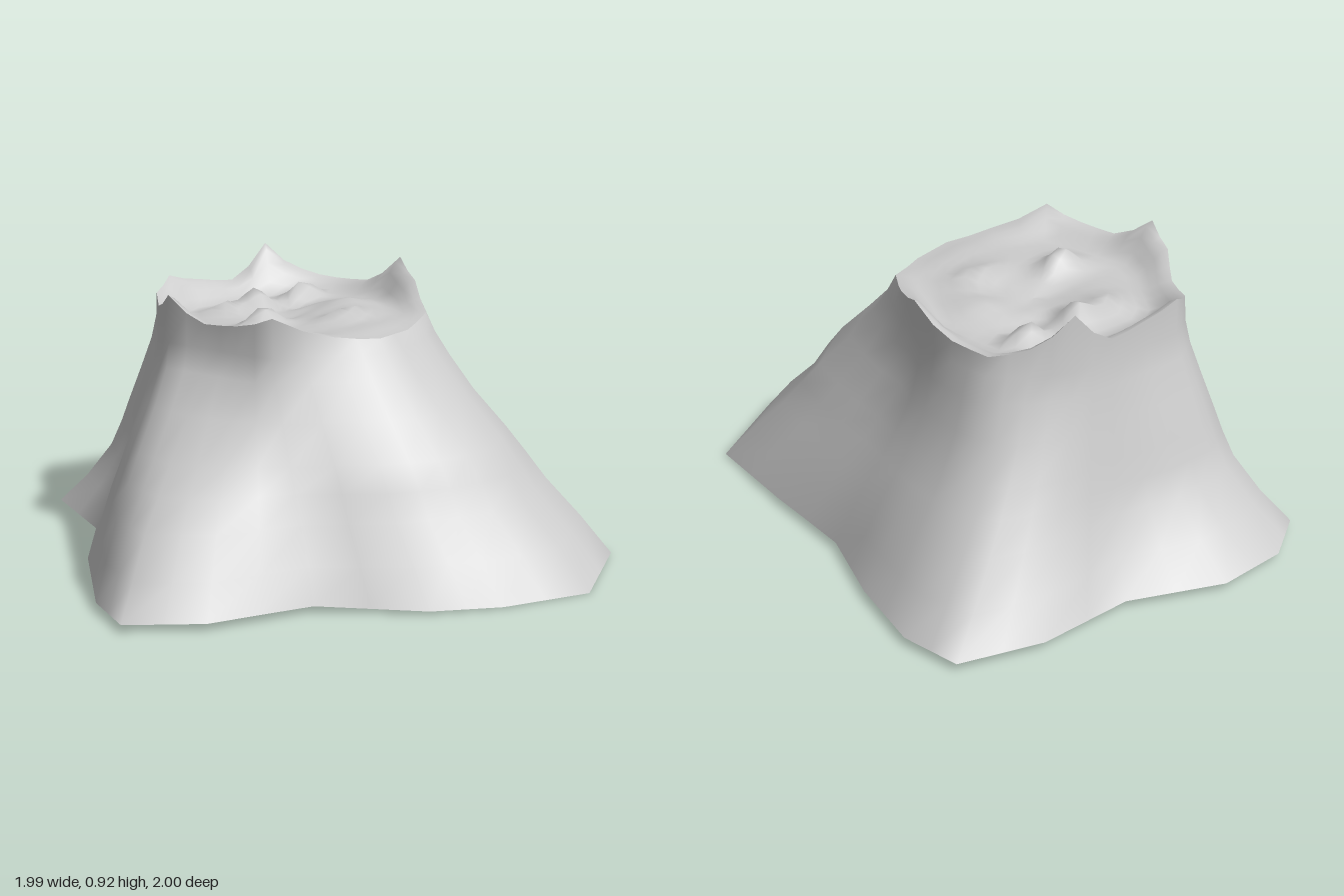
import * as THREE from 'three';

// Ground outline [x, z], clockwise from the back, with flared roots
const BASE = [
  [-0.15, -1], [0.10, -0.98], [0.39, -0.81], [0.72, -0.77], [0.98, -0.65],
  [0.99, -0.44], [0.90, -0.17], [0.77, 0.10], [0.71, 0.45], [0.62, 0.83],
  [0.27, 1], [-0.03, 0.89], [-0.23, 0.76], [-0.47, 0.49], [-0.81, 0.37],
  [-1, 0.19], [-0.93, -0.01], [-0.68, -0.35], [-0.46, -0.57], [-0.34, -0.91],
];
// Broken rim [x, z, height], matched point by point to the ground outline
const RIM = [
  [-0.05, -0.625, 0.85], [0.08, -0.61, 0.82], [0.22, -0.59, 0.80], [0.36, -0.56, 0.92], [0.47, -0.48, 0.82],
  [0.55, -0.38, 0.79], [0.56, -0.24, 0.80], [0.58, -0.10, 0.90], [0.49, 0.05, 0.85], [0.33, 0.24, 0.79],
  [0.16, 0.31, 0.77], [0, 0.33, 0.77], [-0.15, 0.27, 0.79], [-0.32, 0.16, 0.86], [-0.35, 0.03, 0.82],
  [-0.37, -0.10, 0.81], [-0.40, -0.24, 0.89], [-0.36, -0.34, 0.83], [-0.26, -0.44, 0.78], [-0.15, -0.58, 0.81],
];
const SUB = 2;
const SIDES = BASE.length * SUB;
const CENTRE = [0.09, -0.15];
const lerp = THREE.MathUtils.lerp;

// Point on a closed outline at a subdivided index; heights sag between peaks
function sample(list, i) {
  const k = Math.floor(i / SUB), t = (i % SUB) / SUB;
  const a = list[k % list.length], b = list[(k + 1) % list.length];
  return a.map((v, n) => lerp(v, b[n], t) - (n === 2 ? 0.6 * t * (1 - t) * Math.abs(v - b[n]) : 0));
}

// Skin over closed rings, ordered from the bottom up and then inwards
function skin(name, rings) {
  const index = [];
  for (let r = 0; r < rings.length - 1; r++) {
    for (let i = 0; i < SIDES; i++) {
      const j = (i + 1) % SIDES, lo = r * SIDES, hi = lo + SIDES;
      index.push(lo + i, hi + i, lo + j, lo + j, hi + i, hi + j);
    }
  }
  const geometry = new THREE.BufferGeometry();
  geometry.setAttribute('position', new THREE.Float32BufferAttribute(rings.flat(2), 3));
  geometry.setIndex(index);
  geometry.computeVertexNormals();
  const material = new THREE.MeshStandardMaterial({ color: 0xcccccc, side: THREE.DoubleSide });
  const mesh = new THREE.Mesh(geometry, material);
  mesh.name = name;
  return mesh;
}

function ring(point) {
  return Array.from({ length: SIDES }, (_, i) => point(sample(BASE, i), sample(RIM, i)));
}

// Flare of the bark: [height, share of the ground outline at front, back, +x, -x, depth of the side hollow]
const FLARE = [
  [0.13, 0.84, 0.70, 0.82, 0.87, 0],
  [0.25, 0.66, 0.44, 0.63, 0.73, 0.01],
  [0.34, 0.58, 0.34, 0.46, 0.57, 0.02],
  [0.42, 0.49, 0.27, 0.33, 0.43, 0.03],
  [0.54, 0.31, 0.16, 0.17, 0.21, 0.05],
  [0.65, 0.15, 0.06, 0.10, 0.04, 0.06],
  [0.73, 0.06, 0.01, 0.03, 0, 0.04],
];
const HOLLOW = [0.75, 0.25];
function flareRing([y, front, back, left, right, depth]) {
  return ring((b, r) => {
    const zz = b[1] ** 2 / (b[0] ** 2 + b[1] ** 2);
    const w = lerp(b[0] > 0 ? left : right, b[1] > 0 ? front : back, zz);
    const dent = depth * Math.exp(-((b[0] - HOLLOW[0]) ** 2 + (b[1] - HOLLOW[1]) ** 2) / 0.09);
    return [lerp(r[0], b[0], w) - dent, y, lerp(r[1], b[1], w)];
  });
}

// Splinters on the cut face: [x, z, rise, x radius, z radius]
const BUMPS = [
  [0.12, -0.36, 0.07, 0.06, 0.05], [0.34, -0.35, 0.07, 0.06, 0.05], [-0.12, -0.08, 0.07, 0.07, 0.05],
  [0.15, 0.05, 0.04, 0.12, 0.05], [0.30, -0.10, 0.03, 0.08, 0.09], [-0.02, -0.37, 0.04, 0.08, 0.05],
  [0.24, -0.28, -0.02, 0.14, 0.04], [0.05, -0.18, -0.02, 0.14, 0.06],
];
function cutHeight(x, z) {
  return BUMPS.reduce((y, [bx, bz, h, rx, rz]) =>
    y + h * Math.exp(-(((x - bx) / rx) ** 2) - ((z - bz) / rz) ** 2), 0.77 + 0.05 * z);
}

export function createModel() {
  const group = new THREE.Group();
  group.name = 'treeStump';

  // Bark wall, open underneath
  group.add(skin('bark', [
    ring(([x, z]) => [x, z > 0.4 ? 0.025 * (1 - z) / 0.6 : 0.025, z]),
    ...FLARE.map(flareRing),
    ring((b, r) => [r[0], r[2], r[1]]),
  ]));

  // Rough cut face, dropping from the jagged rim into a shallow hollow
  const scales = [1, 0.95, 0.9, 0.84, 0.77, 0.69, 0.6, 0.5, 0.4, 0.3, 0.2, 0.1, 0];
  group.add(skin('cutFace', scales.map((s) => ring((b, r) => {
    const x = lerp(CENTRE[0], r[0], s), z = lerp(CENTRE[1], r[1], s);
    const edge = THREE.MathUtils.smoothstep(s, 0.76, 1);
    return [x, lerp(cutHeight(x, z), r[2], edge), z];
  }))));

  return group;
}
